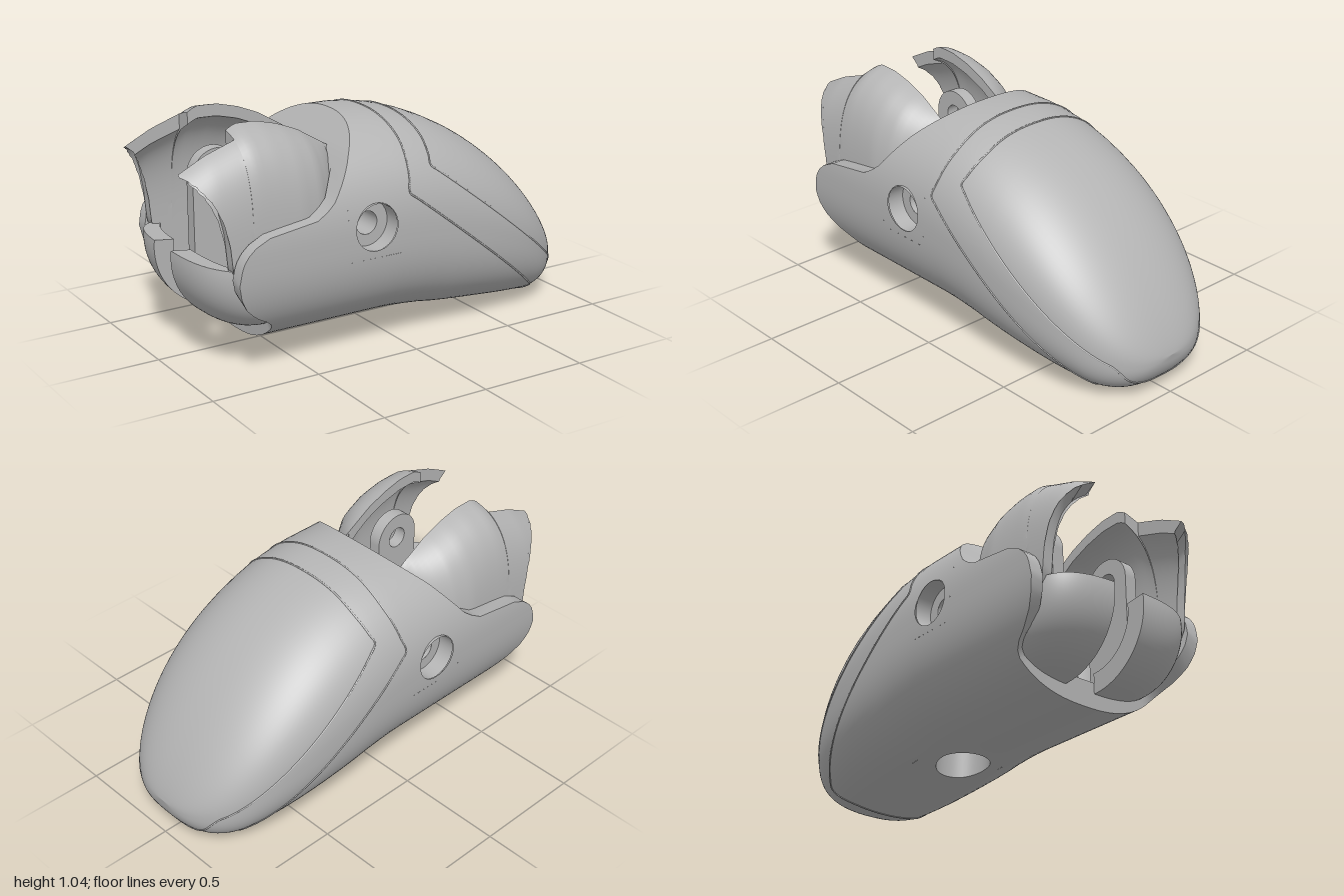
import * as THREE from 'three';
import { mergeGeometries, toCreasedNormals } from 'three/addons/utils/BufferGeometryUtils.js';

const { PI, abs, sin, cos, max, min, pow, sqrt } = Math;
const COLS = 96, STEP = 2 * PI / COLS;

// piecewise linear lookup, keys ascending
const table = (pts) => (k) => {
  if (k <= pts[0][0]) return pts[0][1];
  for (let i = 1; i < pts.length; i++) {
    const [a, va] = pts[i - 1], [b, vb] = pts[i];
    if (k <= b) return va + (vb - va) * (k - a) / (b - a);
  }
  return pts[pts.length - 1][1];
};
const range = (a, b, n) => Array.from({ length: n + 1 }, (_, i) => a + (b - a) * i / n);
// radius of a unit superellipse in direction a
const radius = (a, n) => pow(pow(abs(cos(a)), n) + pow(abs(sin(a)), n), -1 / n);
const roundness = (up) => (up >= 0 ? 2.3 : 2.5);

// body section at x: centre height, half height, half width
const belly = table([[0, 0.08], [0.15, 0.068], [0.27, 0.05], [0.8, 0]]);
function section(x) {
  const t = min(1, max(0, (x + 0.1) / 1.1));
  const top = 0.18 + 0.82 * pow(1 - t * t, 0.77);
  const k = min(1, max(0, (x - 0.8) / 0.2));
  const bot = x < 0.8 ? belly(x) : 0.18 * (1 - sqrt(1 - k * k));
  return { c: (top + bot) / 2, h: (top - bot) / 2, w: 0.475 * pow(1 - pow(min(1, max(0, x)), 3), 0.4) };
}
function skin(x, a) {
  const { c, h, w } = section(x);
  const r = radius(a, roundness(sin(a)));
  return new THREE.Vector3(x, c + h * sin(a) * r, w * cos(a) * r);
}
function skinNormal(x, a) {
  const e = 0.002, x1 = min(x, 0.997);
  const dx = skin(x1 + e, a).sub(skin(x1 - e, a));
  return dx.cross(skin(x1, a + e).sub(skin(x1, a - e))).normalize();
}
// angle on the section for a given height
function angleAt(x, y) {
  const { c, h } = section(x);
  const ny = max(-1, min(1, (y - c) / h)), n = roundness(ny);
  return Math.atan2(ny, pow(1 - pow(abs(ny), n), 1 / n));
}

// rear opening outline: x for each height
const rearCut = table([[0.08, -0.64], [0.2, -0.645], [0.23, -0.67], [0.27, -0.74], [0.32, -0.8], [0.38, -0.835], [0.45, -0.85],
  [0.53, -0.835], [0.58, -0.8], [0.62, -0.745], [0.637, -0.68], [0.645, -0.52], [0.67, -0.45], [0.72, -0.385], [0.89, -0.25], [1, -0.14]]);

// open grid from a function
function surf(fn, us, vs) {
  const pos = [], idx = [], n = vs.length;
  us.forEach((u) => vs.forEach((v) => pos.push(...fn(u, v))));
  for (let i = 0; i < us.length - 1; i++) for (let j = 0; j < n - 1; j++) {
    const a = i * n + j, b = a + n;
    idx.push(a, b, b + 1, a, b + 1, a + 1);
  }
  const g = new THREE.BufferGeometry();
  g.setAttribute('position', new THREE.Float32BufferAttribute(pos, 3));
  g.setIndex(idx);
  return toCreasedNormals(g, 0.6);
}
// closed curved plate: fn(u, v, d) with d = 0 outside, 1 inside
function slab(fn, us, vs) {
  const d = [0, 1], u1 = us[us.length - 1], v1 = vs[vs.length - 1];
  return mergeGeometries([
    surf((u, v) => fn(u, v, 0), us, vs), surf((u, v) => fn(u, v, 1), us, [...vs].reverse()),
    surf((k, v) => fn(us[0], v, k), d, vs), surf((k, v) => fn(u1, v, k), d, vs),
    surf((u, k) => fn(u, vs[0], k), us, d), surf((u, k) => fn(u, v1, k), us, d),
  ]);
}

// outer skin with round openings left in the grid
function shellGeometry(holes) {
  const xs = [-0.85, -0.7, -0.55, -0.33, -0.05, 0.02, 0.1, 0.17, 0.24, 0.32, 0.41,
    ...range(0, PI / 2, 30).slice(1).map((t) => 0.41 + 0.59 * sin(t))];
  const pos = [], nor = [], idx = [];
  const add = (x, a) => { pos.push(...skin(x, a)); nor.push(...skinNormal(x, a)); };
  xs.forEach((x) => {
    for (let j = 0; j <= COLS; j++) {
      const a = (j - 10) * STEP;
      add(max(x, rearCut(skin(-0.5, a).y)), a);
    }
  });
  for (let i = 0; i < xs.length - 1; i++) for (let j = 0; j < COLS; j++) {
    const col = j - 10;
    if (holes.some((h) => xs[i] > h.x0 - 0.01 && xs[i + 1] < h.x1 + 0.01 && col >= h.c0 && col < h.c1)) continue;
    const a = i * (COLS + 1) + j, b = a + COLS + 1;
    idx.push(a, b, b + 1, a, b + 1, a + 1);
  }
  // square-to-circle patch around each opening
  const side = range(-1, 1, 12).slice(0, 12);
  const square = [...side.map((t) => [t, -1]), ...side.map((t) => [1, t]), ...side.map((t) => [-t, 1]), ...side.map((t) => [-1, -t])];
  holes.forEach((h) => {
    const cx = (h.x0 + h.x1) / 2, ca = (h.c0 + h.c1) / 2 * STEP, hx = (h.x1 - h.x0) / 2, ha = (h.c1 - h.c0) / 2 * STEP;
    const base = pos.length / 3, n = square.length;
    for (let k = 0; k <= 4; k++) square.forEach(([p, q]) => {
      const l = Math.hypot(p, q), t = k / 4;
      add(cx + (1 - t) * h.r * p / l + t * hx * p, ca + (1 - t) * h.r / h.span * q / l + t * ha * q);
    });
    for (let k = 0; k < 4; k++) for (let j = 0; j < n; j++) {
      const a = base + k * n + j, a2 = base + k * n + (j + 1) % n;
      idx.push(a, a + n, a2 + n, a, a2 + n, a2);
    }
  });
  const g = new THREE.BufferGeometry();
  g.setAttribute('position', new THREE.Float32BufferAttribute(pos, 3));
  g.setAttribute('normal', new THREE.Float32BufferAttribute(nor, 3));
  g.setIndex(idx);
  return g;
}

// sloping rim, cavity wall and end wall of the rear opening
const rimInner = table([[0.62, 0.87], [0.72, 0.82], [0.83, 0.7], [0.89, 0.57], [0.915, 0]]);
function cavityPoint(row, a) {
  const p = skin(-0.5, a), cut = rearCut(p.y);
  if (row === 0) return [cut, p.y, p.z];
  const y = p.y < 0.54 ? 0.54 + (p.y - 0.54) * 0.87 : p.y;
  return [row > 1 ? max(cut, -0.31) : cut, y, row > 2 ? 0 : p.z * rimInner(p.y)];
}

// upper lobe profiles
const lobeTop = table([[-1, 0.89], [-0.88, 0.95], [-0.741, 0.997], [-0.74, 1.02], [-0.7, 1.043], [-0.6, 1.04], [-0.5, 1.015], [-0.4, 0.975], [-0.25, 0.885]]);
const lobeWide = table([[-1, 0.38], [-0.97, 0.4], [-0.9, 0.405], [-0.5, 0.405], [-0.4, 0.385], [-0.32, 0.33], [-0.27, 0.27], [-0.25, 0.21]]);
const lobeRear = table([[0.28, -0.68], [0.38, -0.78], [0.48, -0.84], [0.6, -0.852], [0.7, -0.875], [0.78, -0.91], [0.84, -0.955], [0.88, -1]]);
function lobePoint(x, v, d) {
  const n = 3.4, zi = x < -0.7405 ? 0.25 : 0.172, zo = lobeWide(x), q = min(zi / zo, 0.95);
  const H = (lobeTop(x) - 0.45) / pow(1 - pow(q, n), 1 / n) - 0.05 * d;
  const w = zo - 0.05 * d, qi = min(zi / w, 0.95);
  const start = Math.atan2(pow(1 - pow(qi, n), 1 / n), qi);
  const a = start + (-0.3 - start) * v, r = radius(a, n);
  return [x, 0.45 + H * sin(a) * r, w * cos(a) * r];
}
function lobe(x, v, d) {
  return lobePoint(max(x, lobeRear(lobePoint(x, v, d)[1])), v, d);
}

// lower lobe: arc swept sideways, rounded off at the flank
function cup(a, z, d) {
  const f = pow(max(0, 1 - pow(abs(z) / 0.412, 3.2)), 1 / 3.2), r = 0.31 * (1 - 0.3 * d) * f;
  return [-0.64 + r * cos(a), 0.46 + r * sin(a), z];
}

export function createModel() {
  const group = new THREE.Group();
  const grey = new THREE.MeshStandardMaterial({ color: 0xb4b4b4, side: THREE.DoubleSide });
  grey.name = 'grey plastic';
  const add = (name, geometry, x = 0, y = 0, z = 0) => {
    const m = new THREE.Mesh(geometry, grey);
    m.name = name;
    m.position.set(x, y, z);
    group.add(m);
    return m;
  };

  // body
  add('bodyShell', shellGeometry([
    { x0: -0.33, x1: -0.05, c0: -3, c1: 6, r: 0.104, span: 0.46 },
    { x0: -0.33, x1: -0.05, c0: 42, c1: 51, r: 0.104, span: 0.46 },
    { x0: 0.02, x1: 0.32, c0: 66, c1: 78, r: 0.12, span: 0.47 },
  ]));
  add('rearOpening', surf(cavityPoint, [0, 1, 2, 3], range(0, 2 * PI, COLS)));
  add('cavityFloor', new THREE.BoxGeometry(0.33, 0.07, 0.36), -0.475, 0.165, 0);

  // pivot bore with a counterbore on each side
  const bore = new THREE.CylinderGeometry(0.052, 0.052, 0.78, 32, 1, true).rotateX(PI / 2);
  add('pivotBore', bore, -0.19, 0.583, 0);
  for (const s of [1, -1]) {
    add('counterboreWall', new THREE.CylinderGeometry(0.104, 0.104, 0.08, 40, 1, true).rotateX(PI / 2), -0.19, 0.583, s * 0.43);
    add('counterboreFloor', new THREE.RingGeometry(0.052, 0.104, 40), -0.19, 0.583, s * 0.39).rotation.y = s > 0 ? 0 : PI;
  }
  // screw pocket under the body
  const pocketWall = (k, t) => {
    const p = skin(0.17 + 0.12 * cos(t), -PI / 2 + 0.12 / 0.47 * sin(t));
    return [p.x, k ? 0.22 : p.y, p.z];
  };
  add('pocketWall', surf(pocketWall, [0, 1], range(0, 2 * PI, 40)));
  add('pocketTop', new THREE.CircleGeometry(0.122, 40).rotateX(PI / 2), 0.17, 0.22, 0);

  // seams of the cover and of the nail panel
  const seam = (name, upper, a, b, lower) => {
    const half = [[upper, PI / 2], [upper, 1.25]];
    range(0, 1, 3).forEach((t) => half.push([upper + (a[0] - upper) * t, angleAt(a[0], 0.9 + (a[1] - 0.9) * t)]));
    range(0, 1, 24).slice(1).forEach((t) => {
      const x = a[0] + (b[0] - a[0]) * t;
      half.push([x, angleAt(x, a[1] + (b[1] - a[1]) * t)]);
    });
    half.push([lower, -1.2], [lower, -PI / 2]);
    const flat = new THREE.CatmullRomCurve3(half.map(([x, t]) => new THREE.Vector3(x, t, 0)), false, 'centripetal');
    const pts = flat.getPoints(140).map((p) => skin(p.x, p.y));
    const back = pts.slice(1, -1).reverse().map((p) => new THREE.Vector3(p.x, p.y, -p.z));
    add(name, new THREE.TubeGeometry(new THREE.CatmullRomCurve3([...pts, ...back], true), 400, 0.004, 6, true));
  };
  seam('coverSeam', 0.02, [-0.01, 0.7], [0.8, 0.07], 0.78);
  seam('nailPanelSeam', 0.15, [0.13, 0.79], [0.91, 0.19], 0.95);

  // lobes and pivot lugs inside the opening
  const lobeX = [...range(-1, -0.741, 12), ...range(-0.74, -0.25, 20)];
  const lobeGeo = slab(lobe, lobeX, range(0, 1, 32));
  const lugShape = new THREE.Shape();
  lugShape.moveTo(0.12, -0.5).lineTo(0.12, 0).absarc(0, 0, 0.12, 0, PI, false).lineTo(-0.12, -0.5);
  lugShape.holes.push(new THREE.Path().absarc(0, 0, 0.05, 0, 2 * PI, true));
  const lugGeo = new THREE.ExtrudeGeometry(lugShape, { depth: 0.06, bevelEnabled: false, curveSegments: 24 });
  for (const s of [1, -1]) {
    const geo = lobeGeo.clone();
    if (s < 0) geo.rotateY(PI).scale(-1, 1, 1); // mirrored in z
    add(s > 0 ? 'frontUpperLobe' : 'backUpperLobe', geo);
    const zs = range(0, 1, 20).map((t) => (s > 0 ? 0.05 + 0.355 * sin(t * PI / 2) : -0.11 - 0.295 * sin(t * PI / 2)));
    add(s > 0 ? 'frontLowerLobe' : 'backLowerLobe', slab(cup, range(PI * 0.96, PI * 1.5, 24), zs));
    add(s > 0 ? 'frontLug' : 'backLug', lugGeo, -0.6, 0.72, s > 0 ? 0.18 : -0.24);
  }
  return group;
}
